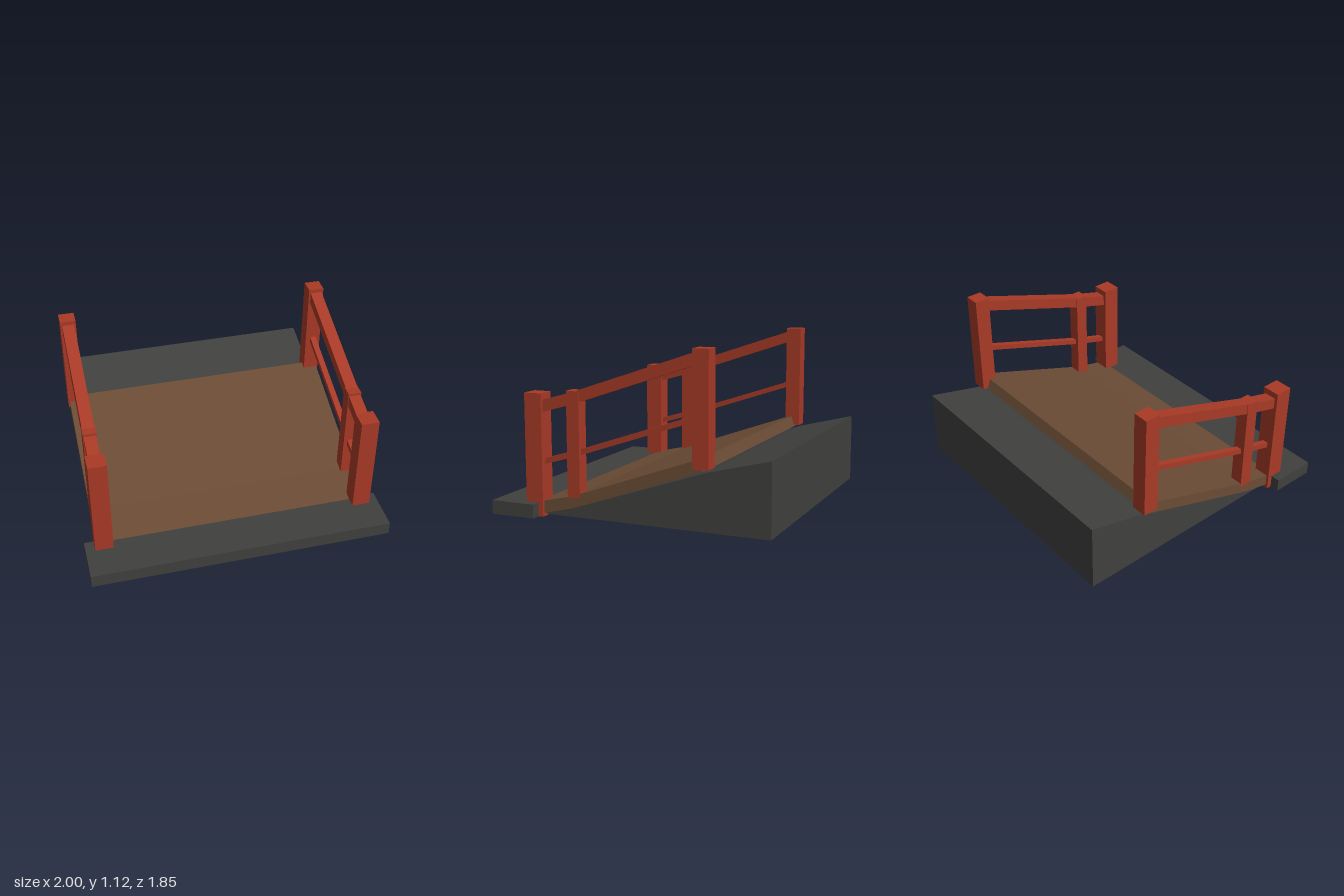
import * as THREE from 'three';

const red = new THREE.MeshStandardMaterial({ color: 0xa83a26 });
const brown = new THREE.MeshStandardMaterial({ color: 0x6b4c35 });
const dark = new THREE.MeshStandardMaterial({ color: 0x40403f });

export function createModel() {
  const model = new THREE.Group();
  model.name = 'rampWithRailings';

  const add = (name, geometry, material, parent = model) => {
    const mesh = new THREE.Mesh(geometry, material);
    mesh.name = name;
    parent.add(mesh);
  };

  // Side profile of [z, y] points, extruded across x and centred on x
  const sideProfile = (points, width, x = 0) => {
    const shape = new THREE.Shape(points.map(([z, y]) => new THREE.Vector2(z, y)));
    return new THREE.ExtrudeGeometry(shape, { depth: width, bevelEnabled: false })
      .translate(0, 0, -width / 2)
      .rotateY(-Math.PI / 2)
      .translate(x, 0, 0);
  };

  // Box given by its lower and upper limits in y and z
  const block = (x, width, y0, y1, z0, z1) =>
    new THREE.BoxGeometry(width, y1 - y0, z1 - z0).translate(x, (y0 + y1) / 2, (z0 + z1) / 2);

  // Stone base: front step and rising wedge
  add('frontStep', block(0, 2, 0.01, 0.1, 0.62, 0.925), dark);
  add('baseWedge', sideProfile(
    [[-0.925, 0.02], [0.62, 0.02], [0.38, 0.08], [-0.53, 0.387], [-0.925, 0.487]], 1.79), dark);

  // Plank deck, bent where the slope steepens
  add('deck', sideProfile(
    [[0.71, 0], [0.725, 0.08], [0.38, 0.16], [-0.485, 0.468], [-0.51, 0.395], [0.37, 0.085]], 1.84), brown);

  // Railings, mirrored left and right
  for (const side of [-1, 1]) {
    const railing = new THREE.Group();
    railing.name = side > 0 ? 'leftRailing' : 'rightRailing';
    model.add(railing);
    const x = side * 0.877;

    add('frontPost', block(x, 0.12, 0.01, 0.8, 0.585, 0.705), red, railing);
    add('middlePost', block(x, 0.088, 0.15, 0.825, 0.325, 0.412), red, railing);
    add('backPost', block(x, 0.105, 0.405, 1.12, -0.545, -0.44), red, railing);

    // Bent rails running through the three posts
    const rail = (name, width, thickness, top) => {
      const bottom = top.map(([z, y]) => [z, y - thickness]).reverse();
      add(name, sideProfile([...top, ...bottom], width, x), red, railing);
    };
    rail('upperRail', 0.08, 0.077, [[0.645, 0.741], [0.37, 0.819], [-0.49, 1.11]]);
    rail('lowerRail', 0.04, 0.037, [[0.645, 0.366], [0.37, 0.445], [-0.49, 0.736]]);
  }
  return model;
}
